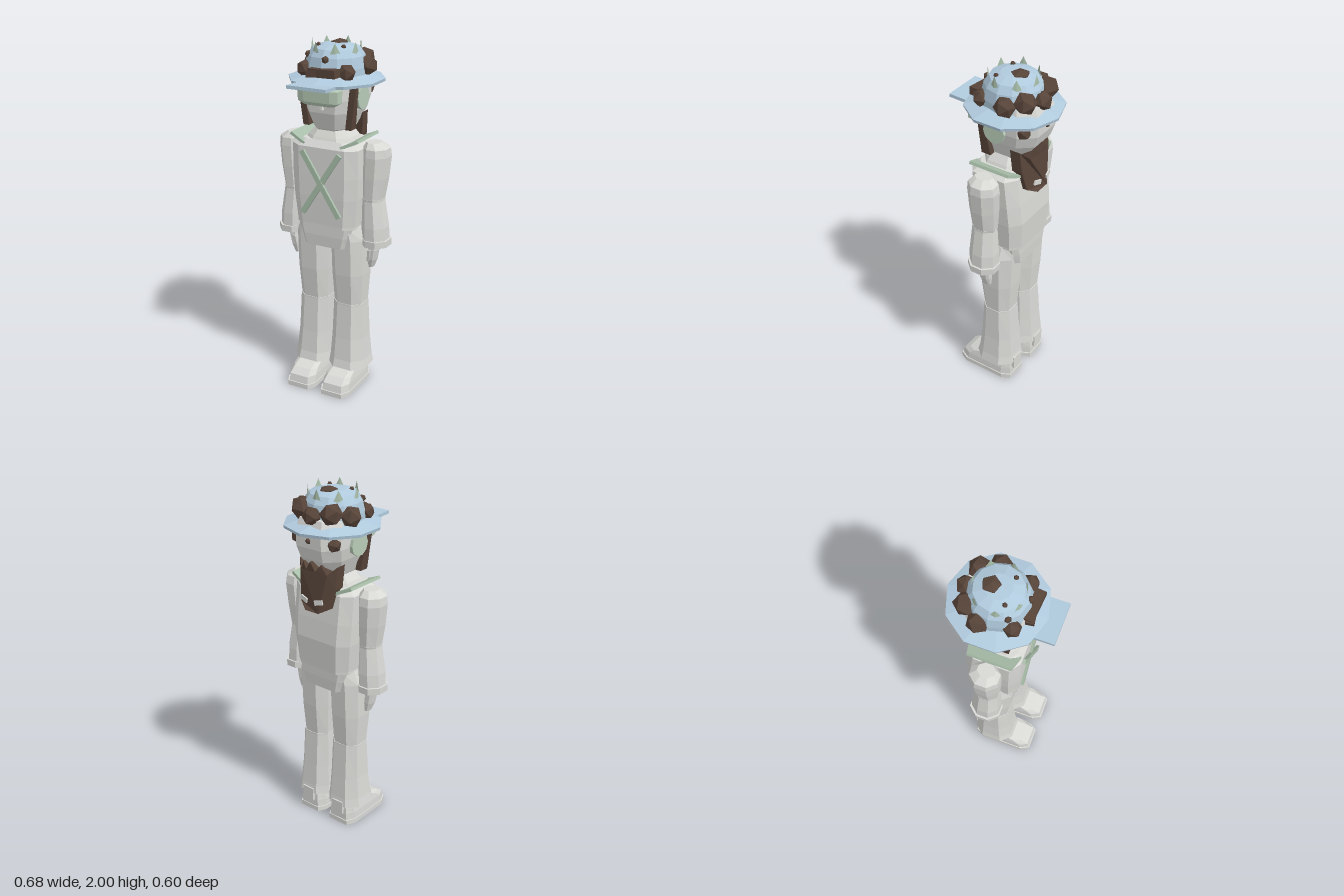
import * as THREE from 'three';

const mat = (name, color) => Object.assign(new THREE.MeshStandardMaterial({ color }), { name });

export function createModel() {
  const model = new THREE.Group();
  model.name = 'uniformedFigure';
  const pale = mat('paleGrey', 0xd8d8d5);
  const blue = mat('hatBlue', 0xb0cadd);
  const brown = mat('darkBrown', 0x574439);
  const green = mat('sageGreen', 0xa9bfaa);
  const lightGreen = mat('lightSage', 0xb8ccb8);

  // Adds a faceted mesh
  function add(name, geo, material, pos = [0, 0, 0], rot = [0, 0, 0]) {
    const g = geo.index ? geo.toNonIndexed() : geo;
    g.computeVertexNormals();
    const m = new THREE.Mesh(g, material);
    m.name = name;
    m.position.set(...pos);
    m.rotation.set(...rot);
    model.add(m);
    return m;
  }

  // Lofts chamfered rectangles; each ring is [y, centreX, halfX, zBack, zFront]
  function loft(rings, c = 0.55) {
    const outline = [[1, -c], [1, c], [c, 1], [-c, 1], [-1, c], [-1, -c], [-c, -1], [c, -1]];
    const pos = [], idx = [], n = 8;
    for (const [y, cx, hx, z0, z1] of rings)
      for (const [u, v] of outline) pos.push(cx + u * hx, y, (z0 + z1) / 2 + v * (z1 - z0) / 2);
    for (let j = 0; j < rings.length - 1; j++)
      for (let i = 0; i < n; i++) {
        const a = j * n + i, b = j * n + (i + 1) % n;
        idx.push(a, a + n, b + n, a, b + n, b);
      }
    const top = (rings.length - 1) * n;
    for (let i = 1; i < n - 1; i++) idx.push(0, i, i + 1, top, top + i + 1, top + i);
    const g = new THREE.BufferGeometry();
    g.setAttribute('position', new THREE.Float32BufferAttribute(pos, 3));
    g.setIndex(idx);
    return g;
  }
  const box = (x, y, z) => new THREE.BoxGeometry(x, y, z);
  const lathe = (points, sides) => new THREE.LatheGeometry(points.map(p => new THREE.Vector2(...p)), sides);

  // Moves every vertex of a geometry by a rule
  function bend(geo, rule) {
    const p = geo.attributes.position, v = new THREE.Vector3();
    for (let i = 0; i < p.count; i++) {
      rule(v.fromBufferAttribute(p, i));
      p.setXYZ(i, v.x, v.y, v.z);
    }
    return geo;
  }

  // Jacket, hem and collar
  add('jacket', loft([
    [0.985, 0, 0.178, -0.162, 0.13], [1.0, 0, 0.178, -0.163, 0.13], [1.16, 0, 0.195, -0.175, 0.138],
    [1.28, 0, 0.2, -0.165, 0.14], [1.44, 0, 0.2, -0.145, 0.14], [1.475, 0, 0.15, -0.12, 0.11]], 0.7), pale);
  add('hips', loft([[0.865, 0, 0.13, -0.145, 0.115], [0.93, 0, 0.15, -0.15, 0.12], [1.0, 0, 0.168, -0.152, 0.12]], 0.8), pale);
  add('collar', loft([[1.44, 0, 0.15, -0.135, 0.125], [1.49, 0, 0.125, -0.115, 0.1], [1.54, 0, 0.085, -0.09, 0.07]]), pale);

  // Crossed chest straps
  for (const s of [-1, 1])
    add('chestStrap', box(0.03, 0.42, 0.015), green, [0, 1.24, 0.148 + s * 0.002], [0, 0, s * 0.57]);

  for (const s of [-1, 1]) {
    // Shoulder boards, shorter along the outer edge
    const board = bend(box(0.105, 0.016, 0.285), v => { if (v.x * s > 0) v.z *= 0.86; });
    add('shoulderBoard', board, green, [s * 0.158, 1.473, -0.01], [0, 0, s * 0.42]);

    // Arms
    add('upperSleeve', loft([
      [1.155, s * 0.245, 0.055, -0.078, 0.058], [1.28, s * 0.253, 0.067, -0.09, 0.066],
      [1.4, s * 0.26, 0.071, -0.098, 0.07], [1.445, s * 0.258, 0.068, -0.09, 0.066],
      [1.475, s * 0.245, 0.038, -0.055, 0.04]], 0.4), pale);
    add('lowerSleeve', loft([
      [0.91, s * 0.26, 0.07, -0.088, 0.068], [1.0, s * 0.257, 0.069, -0.088, 0.068],
      [1.15, s * 0.245, 0.057, -0.075, 0.058], [1.162, s * 0.245, 0.057, -0.08, 0.06]], 0.4), pale);
    add('cuff', loft([[0.89, s * 0.264, 0.076, -0.096, 0.074], [0.928, s * 0.264, 0.077, -0.098, 0.076]], 0.4), pale);
    add('hand', loft([
      [0.75, s * 0.237, 0.013, -0.035, 0.01], [0.8, s * 0.243, 0.025, -0.04, 0.025],
      [0.86, s * 0.252, 0.027, -0.04, 0.03], [0.9, s * 0.252, 0.022, -0.03, 0.03]]), pale);
    add('thumb', loft([[0.79, s * 0.23, 0.009, 0.005, 0.025], [0.86, s * 0.24, 0.012, 0.01, 0.038]]), pale);

    // Legs and shoes
    add('upperTrouser', loft([
      [0.51, s * 0.108, 0.085, -0.098, 0.068], [0.7, s * 0.109, 0.096, -0.115, 0.09],
      [0.91, s * 0.108, 0.1, -0.125, 0.1], [0.99, s * 0.1, 0.082, -0.13, 0.105]], 0.5), pale);
    add('lowerTrouser', loft([
      [0.12, s * 0.112, 0.114, -0.132, 0.112], [0.17, s * 0.111, 0.106, -0.125, 0.1],
      [0.3, s * 0.109, 0.096, -0.115, 0.086], [0.508, s * 0.108, 0.089, -0.102, 0.072],
      [0.518, s * 0.108, 0.089, -0.102, 0.072]], 0.5), pale);
    add('sole', loft([[0, s * 0.11, 0.09, -0.125, 0.233], [0.028, s * 0.11, 0.09, -0.125, 0.233]], 0.72), pale);
    add('shoe', loft([
      [0.028, s * 0.11, 0.085, -0.12, 0.226], [0.07, s * 0.11, 0.083, -0.12, 0.217],
      [0.1, s * 0.11, 0.078, -0.118, 0.175], [0.125, s * 0.11, 0.073, -0.114, 0.105],
      [0.15, s * 0.11, 0.07, -0.11, 0.07]], 0.7), pale);
    add('heelTab', box(0.075, 0.08, 0.018), pale, [s * 0.112, 0.11, -0.127]);
  }

  // Head and face
  add('head', loft([
    [1.5, 0, 0.065, -0.11, 0.05], [1.535, 0, 0.098, -0.135, 0.09], [1.63, 0, 0.137, -0.205, 0.128],
    [1.7, 0, 0.153, -0.23, 0.135], [1.79, 0, 0.155, -0.232, 0.135], [1.85, 0, 0.135, -0.21, 0.125]], 0.55), pale);
  add('nose', loft([[1.65, 0, 0.014, 0.1, 0.142], [1.685, 0, 0.01, 0.1, 0.14]]), pale);
  add('eyeVisor', loft([
    [1.68, 0, 0.09, 0.11, 0.175], [1.7, 0, 0.118, 0.11, 0.19], [1.765, 0, 0.12, 0.11, 0.195]], 0.65), lightGreen);
  for (const s of [-1, 1]) {
    add('earCap', new THREE.CylinderGeometry(0.062, 0.065, 0.025, 10), lightGreen, [s * 0.16, 1.705, -0.02], [0, 0, s * Math.PI / 2]);
    // Side lock widens backward and leans in towards the jaw
    const lock = bend(box(0.035, 0.25, 0.032), v => {
      if (v.y < 0) {
        v.x -= s * 0.032;
        v.z -= v.z < 0 ? 0.03 : 0.006;
      }
    });
    add('sideLock', lock, brown, [s * 0.16, 1.665, 0.065]);
    add('hairTuft', new THREE.IcosahedronGeometry(0.042), brown, [s * 0.12, 1.73, -0.17], [0.4, s, 0.2]);
  }
  add('smallTuft', new THREE.IcosahedronGeometry(0.017), brown, [0, 1.74, -0.23]);

  // Long hair behind the neck, with a jagged top and sides bent forward
  const half = [[0, 1.625], [0.03, 1.575], [0.06, 1.615], [0.088, 1.56], [0.13, 1.605], [0.122, 1.48], [0.1, 1.37], [0.045, 1.34]];
  const hairShape = new THREE.Shape([...half, ...half.slice(1).reverse().map(([x, y]) => [-x, y])].map(p => new THREE.Vector2(...p)));
  const hair = bend(new THREE.ExtrudeGeometry(hairShape, { depth: 0.06, bevelEnabled: false }), v => { v.z += v.x ** 2 * 4; });
  add('backHair', hair, brown, [0, 0, -0.22]);
  for (const s of [-1, 1])
    add('hairClip', box(0.05, 0.026, 0.008), pale, [s * 0.05, 1.405, -0.213], [0, s * -0.2, s * 0.25]);

  // Hat: brim, bill and crown
  add('hatBrim', lathe([[0, 1.79], [0.15, 1.79], [0.262, 1.782], [0.265, 1.798], [0.17, 1.825], [0, 1.83]], 10), blue, [0, 0, -0.035]);
  add('hatBill', box(0.23, 0.018, 0.17), blue, [0, 1.79, 0.212], [-0.04, 0, 0]);
  add('hatCrown', lathe([[0.17, 1.81], [0.168, 1.86], [0.155, 1.92], [0.128, 1.96], [0.07, 1.978], [0, 1.98]], 12), blue, [0, 0, -0.03]);

  // Thin flat spikes round the crown
  for (let i = 0; i < 7; i++) {
    const a = (i + 0.5) / 7 * Math.PI * 2;
    const spike = new THREE.ConeGeometry(0.036, 0.075, 4);
    spike.scale(1, 1, 0.2);
    add('crownSpike', spike, green, [Math.sin(a) * 0.133, 1.961, -0.03 + Math.cos(a) * 0.133], [0, a, 0]);
  }

  // Faceted lumps round the hat: x, y, z, radius
  const lumps = [
    [0, 1.865, -0.2, 0.055], [0.1, 1.885, -0.165, 0.063], [-0.1, 1.885, -0.165, 0.063],
    [0.16, 1.865, -0.08, 0.06], [-0.16, 1.865, -0.08, 0.06], [0.125, 1.85, 0.085, 0.049], [-0.125, 1.85, 0.085, 0.049],
    [0.075, 1.972, 0.028, 0.014], [-0.075, 1.972, 0.028, 0.014],
    [0.018, 1.915, 0.123, 0.021], [-0.12, 1.925, 0.06, 0.019]];
  lumps.forEach(([x, y, z, r], i) =>
    add('hatLump', new THREE.IcosahedronGeometry(r), brown, [x, y, z], [i * 0.7, i * 1.3, i * 0.4]));
  // Flattened lump on top, one corner pointing up
  const topLump = new THREE.IcosahedronGeometry(0.054);
  topLump.rotateX(-1.0172).rotateY(Math.PI / 2).scale(1, 0.5, 1);
  add('topLump', topLump, brown, [0, 1.97, -0.068]);
  add('hatBadgeBar', box(0.17, 0.044, 0.055), brown, [0.018, 1.85, 0.142], [0, -0.08, 0.04]);
  add('hatBadgeEnd', box(0.07, 0.035, 0.045), brown, [-0.04, 1.845, 0.148], [0, 0.15, 0.1]);

  return model;
}
